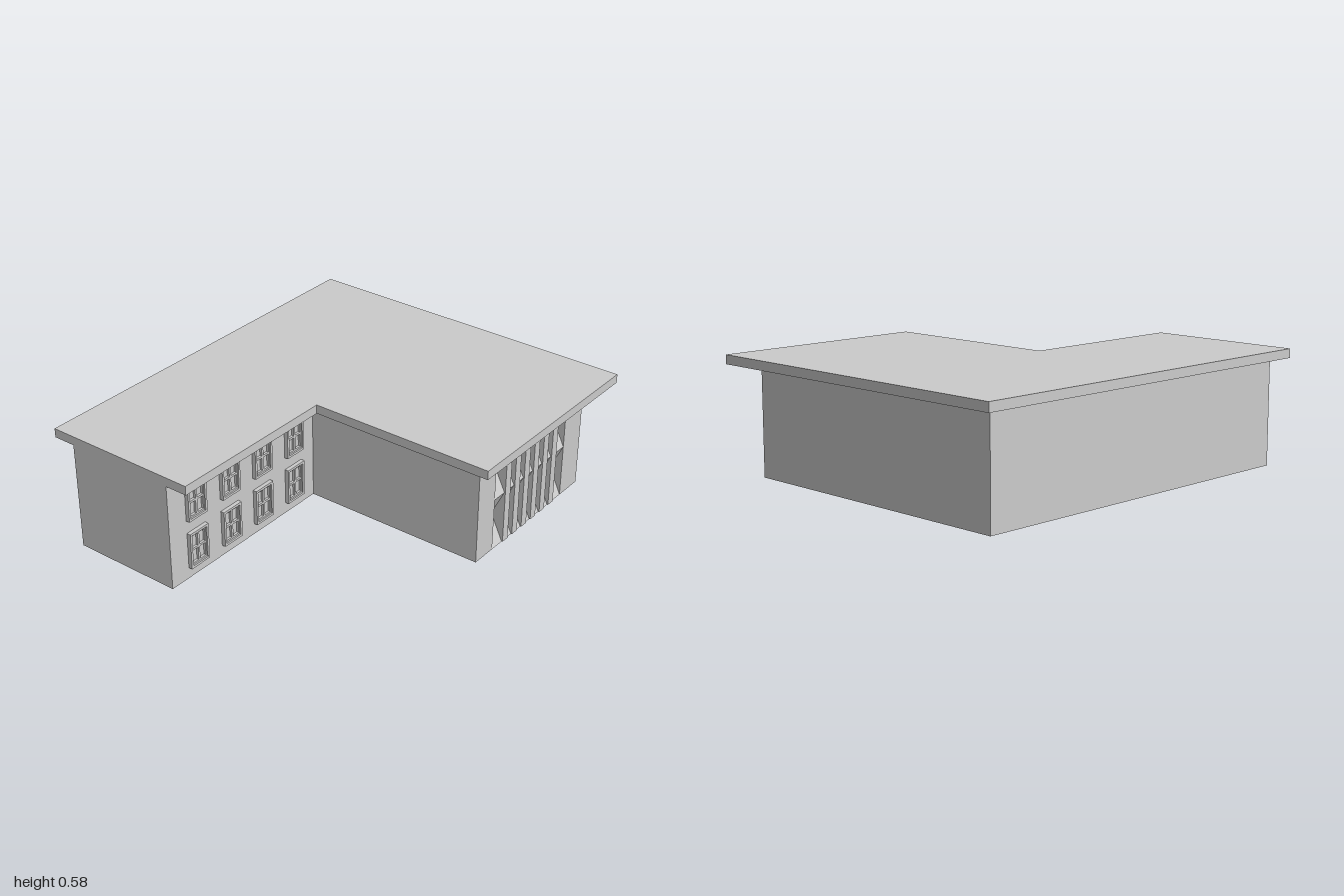
import * as THREE from 'three';

const material = new THREE.MeshStandardMaterial({ color: 0xcccccc, flatShading: true });

function mesh(name, geometry, parent) {
  const m = new THREE.Mesh(geometry, material);
  m.name = name;
  parent.add(m);
  return m;
}

function polygon(points) {
  return new THREE.Shape(points.map(([x, y]) => new THREE.Vector2(x, y)));
}

function rect(x0, y0, x1, y1) {
  return [[x0, y0], [x1, y0], [x1, y1], [x0, y1]];
}

function extrude(shape, depth) {
  return new THREE.ExtrudeGeometry(shape, { depth, bevelEnabled: false });
}

// Upright slab from a plan given as [x, z] points
function slab(plan, y, height) {
  const g = extrude(polygon(plan.map(([x, z]) => [x, -z])), height);
  return g.rotateX(-Math.PI / 2).translate(0, y, 0);
}

// Sheet in the xy plane with rectangular openings
function panel(outer, holes, depth) {
  const s = polygon(outer);
  s.holes = holes.map((h) => polygon(h));
  return extrude(s, depth);
}

export function createModel() {
  const building = new THREE.Group();
  building.name = 'building';

  const front = 0.76, back = -0.755, inner = -0.19, wallTop = 0.54;
  const bayLeft = 0.135, bayRight = 0.73, bayDepth = 0.07;

  // L-shaped walls with a recess for the glazed bay
  mesh('walls', slab([
    [-1, back], [-1, inner], [0, inner], [0, front],
    [bayLeft, front], [bayLeft, front - bayDepth],
    [bayRight, front - bayDepth], [bayRight, front],
    [0.88, front], [0.88, back],
  ], 0, wallTop), building);

  // Flat overhanging roof
  mesh('roof', slab([
    [-1, -0.87], [-1, -0.075], [-0.11, -0.075], [-0.11, 0.87], [1, 0.87], [1, -0.87],
  ], wallTop, 0.045), building);

  // Folded bay face: two V-shaped grooves running across
  const bay = new THREE.Group();
  bay.name = 'entranceBay';
  building.add(bay);
  const zBack = front - bayDepth - 0.02, zIn = front - 0.065;
  const profile = [
    [-zBack, 0], [-front, 0], [-zIn, 0.135], [-front, 0.27],
    [-zIn, 0.4], [-front, 0.535], [-zBack, 0.535],
  ];
  mesh('foldedFace',
    extrude(polygon(profile), bayRight - bayLeft).rotateY(Math.PI / 2).translate(bayLeft, 0, 0), bay);

  // Vertical fins in front of the bay
  for (let i = 0; i < 6; i++) {
    const fin = mesh('fin', new THREE.BoxGeometry(0.043, 0.525, 0.085), bay);
    fin.position.set(0.237 + i * 0.08, 0.2625, front + 0.005 - 0.0425);
  }

  // Casement windows: raised casing and a four-pane sash
  const w = 0.06, h = 0.0925;
  const opening = rect(-w + 0.012, -h + 0.012, w - 0.012, h - 0.012);
  const casing = panel(rect(-w, -h, w, h), [opening], 0.02);
  const panes = [];
  for (const sx of [-1, 1]) for (const sy of [-1, 1]) {
    const cx = sx * 0.0235, cy = sy * 0.0385;
    panes.push(rect(cx - 0.018, cy - 0.033, cx + 0.018, cy + 0.033));
  }
  const sash = panel(opening, panes, 0.012);
  for (const y of [0.1475, 0.3975]) {
    for (const x of [-0.83, -0.605, -0.38, -0.15]) {
      const win = new THREE.Group();
      win.name = 'window';
      mesh('windowCasing', casing, win);
      mesh('windowSash', sash, win);
      win.position.set(x, y, inner);
      building.add(win);
    }
  }
  return building;
}
